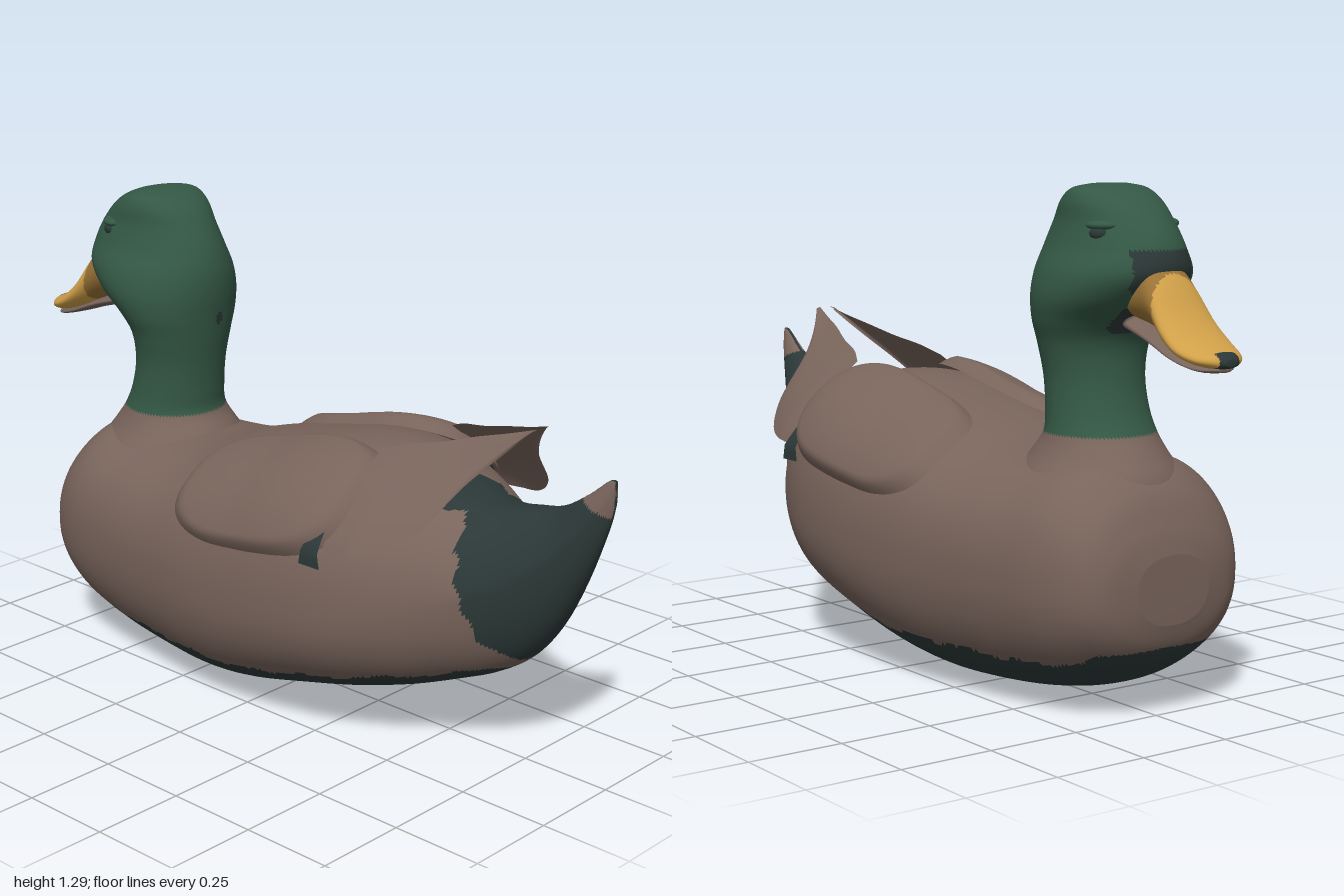
import * as THREE from 'three';

const mat = (name, color, side = THREE.FrontSide) => {
  const m = new THREE.MeshStandardMaterial({ color, side });
  m.name = name;
  return m;
};
const SIDE = THREE.DoubleSide;

// Smooth lookup in a table of rows; t runs from 0 to 1 over the rows.
function sample(rows, t) {
  const f = Math.min(Math.max(t, 0), 1) * (rows.length - 1);
  const i = Math.min(Math.floor(f), rows.length - 2), u = f - i;
  const p = (k) => rows[Math.min(Math.max(k, 0), rows.length - 1)];
  return rows[0].map((_, c) => {
    const a = p(i - 1)[c], b = p(i)[c], d = p(i + 1)[c], e = p(i + 2)[c];
    const m0 = (d - a) / 2, m1 = (e - b) / 2;
    return b + u * m0 + u * u * (3 * (d - b) - 2 * m0 - m1) + u * u * u * (2 * (b - d) + m0 + m1);
  });
}

// Find the row whose first column equals x.
function sampleAt(rows, x) {
  let lo = 0, hi = 1;
  for (let i = 0; i < 24; i++) {
    const mid = (lo + hi) / 2;
    if (sample(rows, mid)[0] < x) lo = mid; else hi = mid;
  }
  return sample(rows, lo);
}

// Grid surface from point(u, v); pick(centre) chooses the material index.
function surface(name, point, nu, nv, materials, closed, pick = () => 0) {
  const pos = [], cols = closed ? nv : nv + 1;
  for (let i = 0; i <= nu; i++) for (let j = 0; j < cols; j++) pos.push(...point(i / nu, j / nv));
  if (closed) { // centre points that cap both ends
    for (const i of [0, nu]) {
      const c = [0, 0, 0];
      for (let j = 0; j < cols; j++) for (let k = 0; k < 3; k++) c[k] += pos[(i * cols + j) * 3 + k] / cols;
      pos.push(...c);
    }
  }
  const lists = materials.map(() => []);
  const tri = (a, b, c) => {
    const m = [0, 1, 2].map((k) => (pos[a * 3 + k] + pos[b * 3 + k] + pos[c * 3 + k]) / 3);
    lists[pick(...m)].push(a, b, c);
  };
  const id = (i, j) => i * cols + (closed ? j % nv : j);
  for (let j = 0; j < nv; j++) {
    for (let i = 0; i < nu; i++) {
      tri(id(i, j), id(i, j + 1), id(i + 1, j));
      tri(id(i, j + 1), id(i + 1, j + 1), id(i + 1, j));
    }
    if (closed) {
      const c = (nu + 1) * cols;
      tri(c, id(0, j + 1), id(0, j));
      tri(c + 1, id(nu, j), id(nu, j + 1));
    }
  }
  const geo = new THREE.BufferGeometry();
  geo.setAttribute('position', new THREE.Float32BufferAttribute(pos, 3));
  geo.setIndex(lists.flat());
  let start = 0;
  lists.forEach((l, k) => { if (l.length) geo.addGroup(start, l.length, k); start += l.length; });
  geo.computeVertexNormals();
  const mesh = new THREE.Mesh(geo, materials);
  mesh.name = name;
  return mesh;
}

// Body sections: x, top, bottom, half width, height of widest point, pinch of the upper half
const BODY = [
  [-0.81, 0.41, 0.24, 0.11, 0.33, 0], [-0.79, 0.48, 0.18, 0.2, 0.33, 0], [-0.74, 0.57, 0.125, 0.26, 0.34, 0],
  [-0.64, 0.635, 0.065, 0.305, 0.35, 0], [-0.48, 0.63, 0.025, 0.335, 0.35, 0], [-0.3, 0.64, 0.005, 0.36, 0.35, 0],
  [-0.15, 0.68, 0.003, 0.38, 0.35, 0], [0, 0.715, 0.025, 0.39, 0.35, 0], [0.18, 0.75, 0.07, 0.388, 0.37, 0],
  [0.34, 0.75, 0.11, 0.365, 0.39, 0], [0.48, 0.71, 0.15, 0.31, 0.42, 0.05], [0.6, 0.675, 0.195, 0.235, 0.45, 0.15],
  [0.68, 0.675, 0.23, 0.185, 0.48, 0.3], [0.76, 0.69, 0.285, 0.135, 0.52, 0.4], [0.84, 0.71, 0.385, 0.085, 0.58, 0.45],
  [0.91, 0.755, 0.52, 0.05, 0.66, 0.4], [0.97, 0.805, 0.67, 0.02, 0.75, 0.3], [0.99, 0.81, 0.74, 0.007, 0.78, 0],
];
const power = (v, e) => Math.sign(v) * Math.abs(v) ** e;
function bodyPoint(row, a, lift = 0) {
  const [x, top, bottom, w, mid, pinch] = row, c = Math.cos(a), s = Math.sin(a);
  const y = mid + power(c, 0.88) * (c > 0 ? top - mid : mid - bottom);
  return [x, y + lift * c, power(s, 0.88) * w * (1 - pinch * Math.max(0, c)) + lift * s];
}

// Neck and head sections: y, front x, back x, half width
const HEAD = [
  [0.5, -0.76, -0.3, 0.25], [0.58, -0.735, -0.31, 0.2], [0.63, -0.7, -0.345, 0.165], [0.68, -0.663, -0.385, 0.142],
  [0.74, -0.635, -0.387, 0.132], [0.82, -0.618, -0.38, 0.131], [0.9, -0.622, -0.368, 0.147], [0.96, -0.66, -0.36, 0.17],
  [1.02, -0.735, -0.352, 0.184], [1.08, -0.785, -0.352, 0.176], [1.14, -0.78, -0.366, 0.147], [1.2, -0.745, -0.395, 0.127],
  [1.25, -0.69, -0.43, 0.12], [1.28, -0.63, -0.475, 0.1], [1.291, -0.575, -0.525, 0.05],
];
// Bill sections: x, top, bottom, half width
const UPPER_BILL = [
  [-1, 0.9, 0.883, 0.015], [-0.985, 0.912, 0.877, 0.045], [-0.95, 0.923, 0.877, 0.075], [-0.9, 0.95, 0.888, 0.09],
  [-0.85, 1.0, 0.91, 0.088], [-0.8, 1.075, 0.94, 0.08], [-0.76, 1.11, 0.955, 0.076], [-0.7, 1.08, 0.97, 0.07],
];
const LOWER_BILL = [
  [-0.98, 0.88, 0.868, 0.02], [-0.94, 0.885, 0.866, 0.06], [-0.87, 0.905, 0.885, 0.075],
  [-0.78, 0.945, 0.915, 0.07], [-0.68, 0.98, 0.94, 0.06],
];
const billPoint = (rows) => (u, v) => {
  const [x, top, bottom, w] = sample(rows, u), a = v * Math.PI * 2;
  return [x, (top + bottom) / 2 + Math.cos(a) * (top - bottom) / 2, Math.sin(a) * w];
};

// Rear feather edges: x and y of the upper edge, x and y of the lower edge
const FEATHERS = [
  [0.37, 0.775, 0.365, 0.565], [0.43, 0.8, 0.42, 0.565], [0.52, 0.82, 0.52, 0.585],
  [0.61, 0.847, 0.6, 0.65], [0.69, 0.868, 0.655, 0.76], [0.765, 0.89, 0.755, 0.882],
];
const FEATHER_DEPTH = [[0.55, 0.36], [0.6, 0.325], [0.68, 0.25], [0.78, 0.135], [0.84, 0.07], [0.89, 0.02]];

export function createModel() {
  const brown = mat('brown plumage', 0x78645b);
  const dark = mat('dark plumage', 0x2b3837);
  const green = mat('green plumage', 0x345845);
  const orange = mat('orange bill', 0xd0a049);
  const ochre = mat('ochre bill root', 0x9a7336);
  const wingBrown = mat('brown wing', 0x78645b, SIDE);
  const wingDark = mat('dark wing patch', 0x2b3837, SIDE);
  const duck = new THREE.Group();
  duck.name = 'duck';

  // Body with dark belly, dark stern and a brown tail tip
  const wobble = (v) => 0.012 * Math.sin(v * 31) + 0.006 * Math.sin(v * 83);
  const bodyColour = (x, y, z) => {
    const belly = 0.13 + Math.max(0, x - 0.02) * 0.19 + Math.max(0, -0.6 - x) * 0.25;
    if (y < Math.min(belly, 0.265) + wobble(x) * 0.5) return 1;
    if (x > 0.88 && y > 0.735 + (0.93 - x) * 0.4 && Math.abs(z) > 0.004) return 0;
    const stern = y > 0.66 ? 0.42 + Math.abs(z) * 1.1 : y > 0.58 ? 0.6 + (0.66 - y) * 0.6 : 0.66 + Math.max(0, 0.46 - y) * 0.6;
    return x > stern + wobble(y) && y > 0.28 ? 1 : 0;
  };
  duck.add(surface('body', (u, v) => bodyPoint(sample(BODY, u), v * Math.PI * 2), 190, 120, [brown, dark], true, bodyColour));

  // Neck and head
  const headColour = (x, y, z) => {
    if (y < 0.68) return 0;
    const root = x < -0.735 && y > 1.0 && y < 1.14 && Math.abs(z) < 0.09;
    const throat = x < -0.63 && y > 0.93 && y < 1.0 && Math.abs(z) < 0.07;
    const nape = x > -0.4 && ((y - 0.95) / 0.018) ** 2 + ((z + 0.017) / 0.013) ** 2 < 1;
    return root || throat || nape ? 2 : 1;
  };
  duck.add(surface('neckAndHead', (u, v) => {
    const [y, x0, x1, w] = sample(HEAD, u), a = -v * Math.PI * 2;
    return [(x0 + x1) / 2 + Math.cos(a) * (x1 - x0) / 2, y, Math.sin(a) * w];
  }, 110, 96, [brown, green, dark], true, headColour));

  // Bill
  duck.add(surface('upperBill', billPoint(UPPER_BILL), 60, 40, [orange, ochre, dark], true,
    (x, y, z) => (x < -0.972 && Math.abs(z) < 0.03 ? 2 : x > -0.815 + (y - 0.97) * 0.2 ? 1 : 0)));
  duck.add(surface('lowerBill', billPoint(LOWER_BILL), 24, 24, [brown], true));

  for (const s of [1, -1]) {
    const side = s > 0 ? 'left' : 'right';

    // Eye with a brow fold above it
    const eye = new THREE.Mesh(new THREE.SphereGeometry(1, 20, 14), dark);
    eye.name = side + 'Eye';
    eye.scale.set(0.024, 0.015, 0.012);
    eye.position.set(-0.655, 1.177, s * 0.116);
    eye.rotation.y = -s * 0.5;
    const brow = new THREE.Mesh(new THREE.SphereGeometry(1, 20, 14), green);
    brow.name = side + 'Brow';
    brow.scale.set(0.04, 0.012, 0.02);
    brow.position.set(-0.655, 1.196, s * 0.108);
    brow.rotation.y = -s * 0.5;
    duck.add(eye, brow);

    // Folded wing: a rounded patch lifted off the body
    const patch = (name, x0, x1, a0, a1, lift, material) => surface(side + name, (u, v) => {
      const r = u, q = v * Math.PI * 2;
      const x = (x0 + x1) / 2 + power(Math.cos(q), 0.6) * r * (x1 - x0) / 2;
      const a = (a0 + a1) / 2 + power(Math.sin(q), 0.6) * r * (a1 - a0) / 2;
      const rise = lift * Math.min(1, 2.2 * (1 - r ** 4)) - 0.004 * r ** 8;
      const p = bodyPoint(sampleAt(BODY, x), a, rise + Math.max(0, x - 0.05) * 0.06 * (lift > 0.02));
      return [p[0], p[1], p[2] * s];
    }, 20, 72, [material], false);
    duck.add(patch('Wing', -0.21, 0.41, 0.17, 1.24, 0.028, wingBrown));

    // Dark wedge between the wing and the rear feathers
    duck.add(surface(side + 'WingPatch', (u, v) => {
      const y = 0.525 + u * 0.155, x = 0.345 + (v - 0.5) * (0.07 - 0.055 * u);
      const depth = sampleAt(FEATHER_DEPTH, Math.max(y, 0.551))[1];
      return [x, y, s * (Math.min(depth, 0.352) + 0.024)];
    }, 8, 2, [wingDark], false));

    // Rear flight feathers sweeping up to a point over the tail
    duck.add(surface(side + 'FlightFeathers', (u, v) => {
      const [x0, y0, x1, y1] = sample(FEATHERS, u);
      const x = x0 + (x1 - x0) * v, y = y0 + (y1 - y0) * v;
      const z = sampleAt(FEATHER_DEPTH, y)[1] * (1 - 0.6 * Math.max(0, x - 0.45)) + 0.012 * Math.sin(v * Math.PI);
      return [x, y, s * z];
    }, 36, 16, [wingBrown], false));
  }
  return duck;
}
